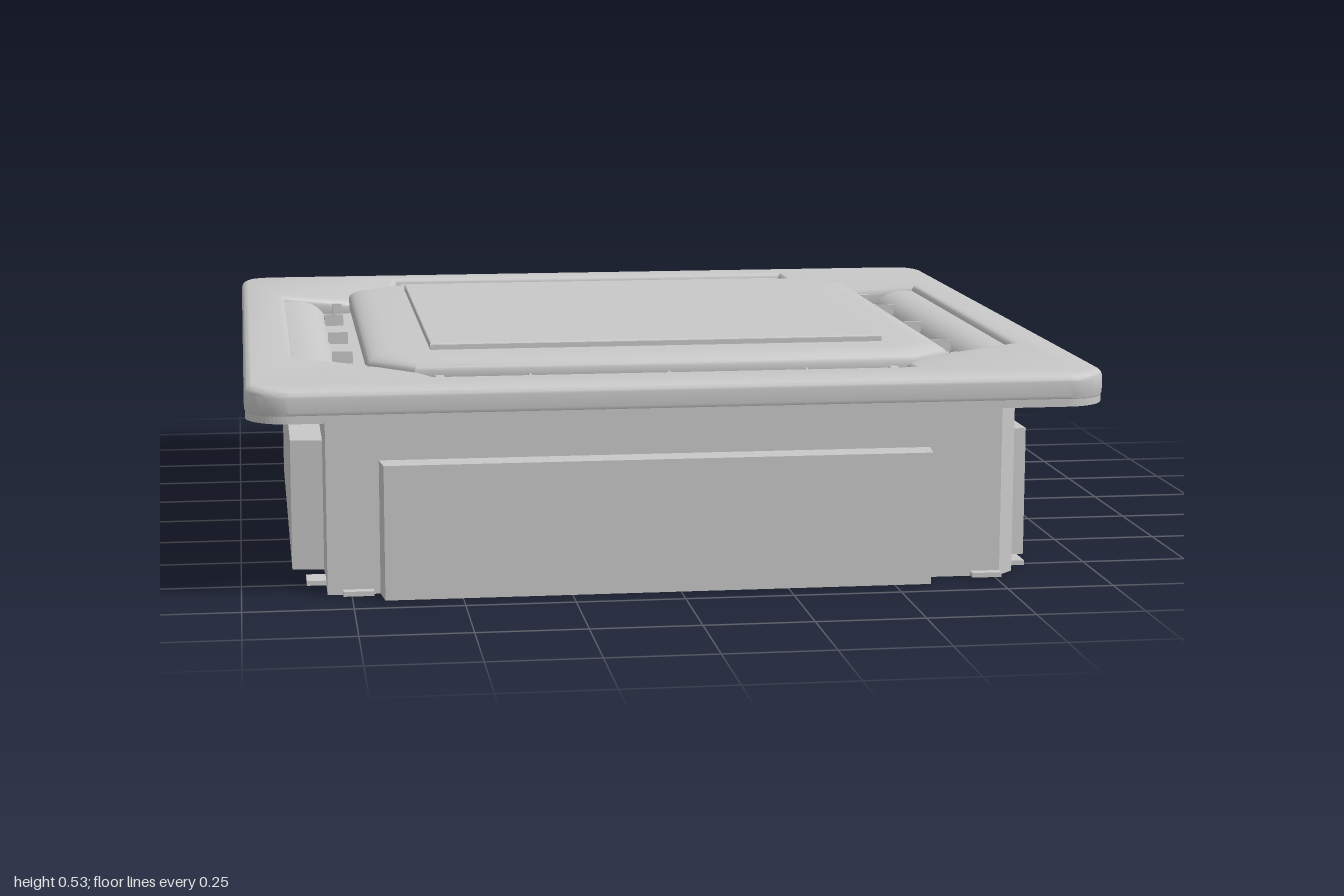
import * as THREE from 'three';
import { toCreasedNormals } from 'three/addons/utils/BufferGeometryUtils.js';

const casing = new THREE.MeshStandardMaterial({ color: 0xc8c8c8, side: THREE.DoubleSide });
casing.name = 'light grey casing';

function add(parent, name, geometry) {
  const mesh = new THREE.Mesh(geometry, casing);
  mesh.name = name;
  parent.add(mesh);
}

function box(parent, name, w, h, d, x, y, z) {
  add(parent, name, new THREE.BoxGeometry(w, h, d).translate(x, y, z));
}

// Outline given as [x, z] pairs
const outline = (points) => points.map(([x, z]) => new THREE.Vector2(x, -z));
const square = (s) => [[-s, -s], [s, -s], [s, s], [-s, s]];

// Quarter turns about the vertical axis
const turn = ([x, z], k) => {
  for (let i = 0; i < k; i++) [x, z] = [z, -x];
  return [x, z];
};

// Horizontal slab between two heights, with an optional rounded edge
function slab(shape, y0, y1, bevel = 0, bevelWidth = bevel) {
  const geometry = new THREE.ExtrudeGeometry(shape, {
    depth: y1 - y0 - 2 * bevel, curveSegments: 8,
    bevelEnabled: bevel > 0, bevelThickness: bevel, bevelSize: bevelWidth, bevelOffset: -bevelWidth, bevelSegments: 5,
  });
  return geometry.rotateX(-Math.PI / 2).translate(0, y0 + bevel, 0);
}

// Sheet wall standing on a path, open above and below; points run anticlockwise seen from above
function wall(points, height) {
  const v = [];
  for (let i = 0; i < points.length - 1; i++) {
    const [ax, az] = points[i], [bx, bz] = points[i + 1];
    v.push(ax, 0, az, bx, 0, bz, bx, height, bz, ax, 0, az, bx, height, bz, ax, height, az);
  }
  const geometry = new THREE.BufferGeometry();
  geometry.setAttribute('position', new THREE.Float32BufferAttribute(v, 3));
  geometry.computeVertexNormals();
  return geometry;
}

function roundedRect(w, d, r) {
  const s = new THREE.Shape();
  s.moveTo(-w + r, -d);
  s.lineTo(w - r, -d).absarc(w - r, -d + r, r, -Math.PI / 2, 0);
  s.lineTo(w, d - r).absarc(w - r, d - r, r, 0, Math.PI / 2);
  s.lineTo(-w + r, d).absarc(-w + r, d - r, r, Math.PI / 2, Math.PI);
  s.lineTo(-w, -d + r).absarc(-w + r, -d + r, r, Math.PI, Math.PI * 1.5);
  return s;
}

const octagon = (s, c) => [[-s, -c], [-c, -s], [c, -s], [s, -c], [s, c], [c, s], [-c, s], [-s, c]];

export function createModel() {
  const model = new THREE.Group();
  model.name = 'ceilingCassetteUnit';

  // Sheet body around an inner wall, open underneath
  add(model, 'body', wall([
    [-0.805, 0.86], [0.765, 0.86], [0.805, 0.82], [0.805, -0.805], [-0.805, -0.805], [-0.805, 0.86],
  ], 0.425));
  add(model, 'innerWall', new THREE.CylinderGeometry(Math.SQRT2, Math.SQRT2, 0.42, 4, 1, true, Math.PI / 4)
    .scale(0.69, 1, 0.705).translate(0.01, 0.212, 0.015));

  // Fascia: backing plate and a frame that dips towards the centre
  add(model, 'backingPlate', slab(roundedRect(0.983, 0.998, 0.1), 0.422, 0.45));
  const frame = roundedRect(0.985, 1, 0.1);
  const opening = [];
  for (let k = 0; k < 4; k++) {
    const end = k % 2 ? 0.535 : 0.55;
    const side = [[-end - 0.025, 0.68], [-end, 0.868], [end, 0.868], [end + 0.025, 0.68]];
    opening.push(...side.map((p) => turn(p, k)));
  }
  frame.holes.push(new THREE.Path(outline(opening)));
  const frameGeometry = slab(frame, 0.43, 0.497, 0.018);
  const pos = frameGeometry.attributes.position;
  for (let i = 0; i < pos.count; i++) {
    const edge = Math.max(Math.abs(pos.getX(i)), Math.abs(pos.getZ(i)));
    if (pos.getY(i) > 0.46) pos.setY(i, pos.getY(i) + (edge < 0.76 ? -0.014 : 0.05 * Math.max(0, 1 - edge)));
  }
  frameGeometry.computeVertexNormals();
  add(model, 'fasciaFrame', toCreasedNormals(frameGeometry, 0.6));

  // Rounded centre with the flat intake panel
  add(model, 'centreFrame', toCreasedNormals(slab(new THREE.Shape(outline(octagon(0.695, 0.59))), 0.44, 0.513, 0.025, 0.07), 0.6));
  add(model, 'intakePanel', slab(new THREE.Shape(outline(square(0.545))), 0.5, 0.528, 0.004));

  // Curved vane profile, drawn across the slot
  const vane = new THREE.Shape();
  vane.moveTo(0.765, 0.45);
  vane.quadraticCurveTo(0.79, 0.495, 0.872, 0.487);
  vane.lineTo(0.872, 0.477);
  vane.quadraticCurveTo(0.81, 0.48, 0.785, 0.45);
  const vaneGeometry = toCreasedNormals(
    new THREE.ExtrudeGeometry(vane, { depth: 1.08, bevelEnabled: false, curveSegments: 10 })
      .rotateY(-Math.PI / 2).translate(0.54, 0, 0), 0.6);

  // Duct covers sit off-centre: inner ends and outset for each face
  const covers = [[-0.685, 0.595, 0.05], [-0.655, 0.61, 0], [-0.65, 0.58, 0], [-0.67, 0.595, 0]];

  covers.forEach(([a, b, outset], k) => {
    const outlet = new THREE.Group();
    outlet.name = 'airOutlet' + (k + 1);
    outlet.rotation.y = k * Math.PI / 2;
    add(outlet, 'vane', vaneGeometry);
    for (const x of [-0.325, 0, 0.325]) box(outlet, 'vaneArm', 0.006, 0.03, 0.05, x, 0.465, 0.745);
    for (const x of [-0.535, 0.535]) {
      box(outlet, 'vanePivot', 0.02, 0.03, 0.025, x, 0.465, 0.73);
      box(outlet, 'vanePivot', 0.02, 0.03, 0.025, x, 0.465, 0.84);
    }
    model.add(outlet);

    // Sheet duct cover with slightly slanted ends and a closed top
    const cover = [[a, 0.805], [a + 0.008, 0.88], [b - 0.01, 0.88], [b, 0.805]]
      .map(([x, z]) => turn([x, z + outset], k));
    add(model, 'ductCover' + (k + 1), wall(cover, 0.31));
    add(model, 'ductCoverTop' + (k + 1), slab(new THREE.Shape(outline(cover)), 0.305, 0.31));

    // Mounting tabs at both ends of each face
    for (const x of [-0.735, 0.73]) {
      const [tx, tz] = turn([x, 0.815 + outset * 0.7], k);
      box(model, 'mountingTab', 0.07, 0.011, 0.07, tx, 0.0065, tz);
    }
  });
  return model;
}
